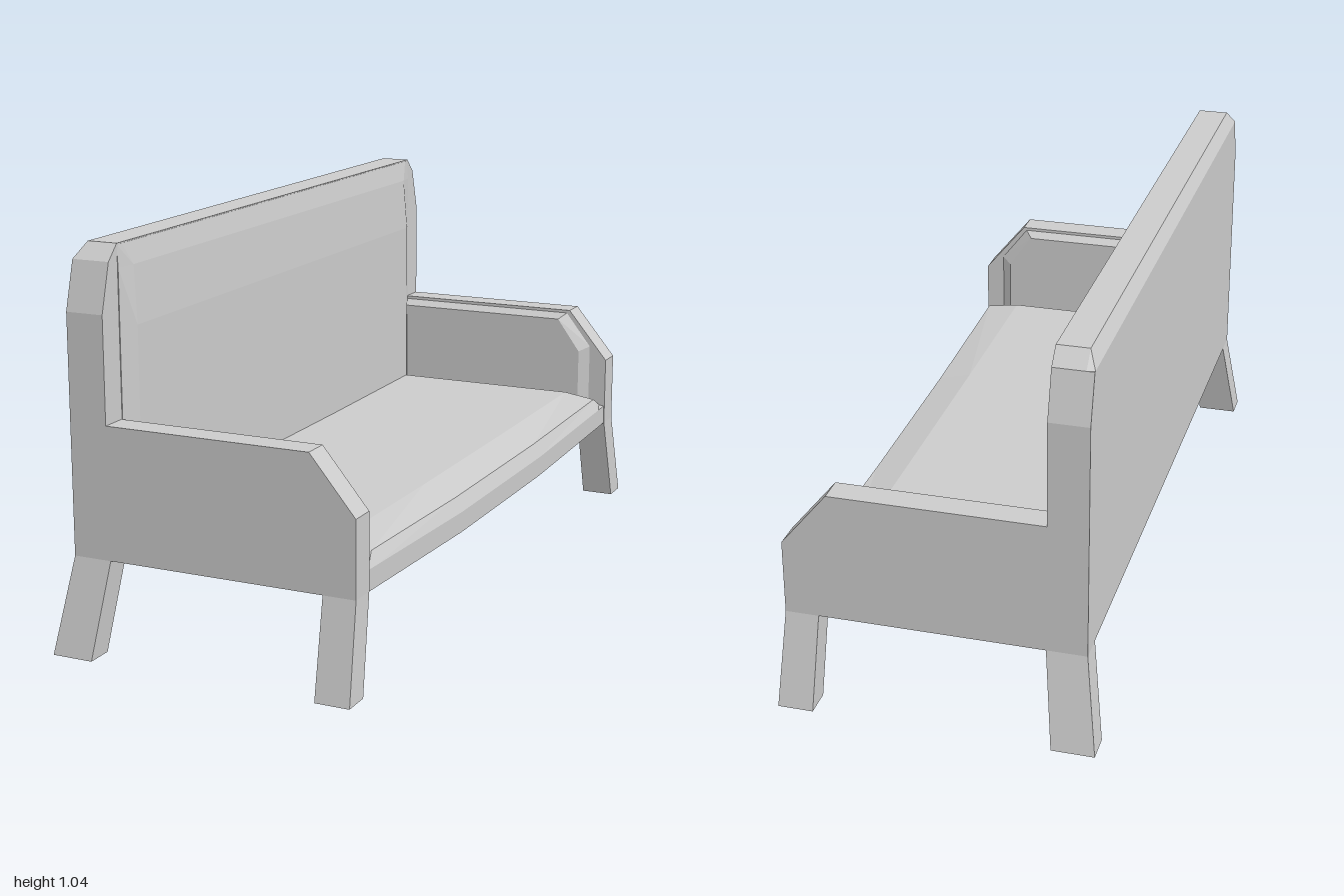
import * as THREE from 'three';

const material = new THREE.MeshStandardMaterial({ color: 0xcccccc, flatShading: true });

// Closed solid through matching rings of [x, y, z] corners, capped at both ends
function loft(name, rings) {
  const tris = [];
  const n = rings[0].length;
  for (let r = 0; r < rings.length - 1; r++) {
    const a = rings[r], b = rings[r + 1];
    for (let i = 0; i < n; i++) {
      const j = (i + 1) % n;
      tris.push([a[i], a[j], b[j]], [a[i], b[j], b[i]]);
    }
  }
  const first = rings[0], last = rings[rings.length - 1];
  for (let i = 1; i < n - 1; i++) {
    tris.push([first[0], first[i + 1], first[i]], [last[0], last[i], last[i + 1]]);
  }
  // Turn the faces outward if the enclosed volume comes out negative
  const vec = (p) => new THREE.Vector3(...p);
  const volume = tris.reduce((s, [a, b, c]) => s + vec(a).dot(vec(b).cross(vec(c))), 0);
  if (volume < 0) tris.forEach((t) => t.reverse());
  const geometry = new THREE.BufferGeometry();
  geometry.setAttribute('position', new THREE.Float32BufferAttribute(tris.flat(2), 3));
  geometry.computeVertexNormals();
  const mesh = new THREE.Mesh(geometry, material);
  mesh.name = name;
  return mesh;
}

const atZ = (points, z) => points.map(([x, y]) => [x, y, z]);

// Backrest slab with clipped top corners and a chamfered rear top edge
function backrest() {
  const ring = (x, topZ, topY) => {
    const half = [[0.94, 0.25], [0.94, 0.875], [0.905, 1.0], [topZ, topY]];
    const mirrored = half.map(([z, y]) => [-z, y]).reverse();
    return [...half, ...mirrored].map(([z, y]) => [x, y, z]);
  };
  return loft('backrest', [ring(-0.38, 0.9, 1.0), ring(-0.36, 0.865, 1.04), ring(-0.277, 0.865, 1.04)]);
}

// Padding on the front of the backrest, thinning toward the top
function backPad() {
  const ring = ([y, edge, front, half]) => [
    [-0.3, y, -0.865], [edge, y, -0.865], [front, y, -half],
    [front, y, half], [edge, y, 0.865], [-0.3, y, 0.865],
  ];
  return loft('backPad', [
    [0.28, -0.275, -0.255, 0.815],
    [0.83, -0.275, -0.255, 0.815],
    [0.98, -0.275, -0.265, 0.81],
    [1.037, -0.278, -0.276, 0.845],
  ].map(ring));
}

// Seat with sloping cushion ends and a front edge that bows down in the middle
function seat() {
  const ring = ([z, bottom, lip, front, top]) => atZ([
    [-0.3, 0.25], [0.32, 0.25], [0.4, bottom], [0.4, lip], [0.383, front], [0.29, top], [-0.3, top],
  ], z);
  const half = [
    [0.87, 0.248, 0.303, 0.305, 0.306],
    [0.815, 0.246, 0.301, 0.334, 0.348],
    [0.29, 0.228, 0.283, 0.322, 0.345],
  ];
  const mirrored = half.map(([z, ...rest]) => [-z, ...rest]).reverse();
  return loft('seat', [...half, ...mirrored].map(ring));
}

export function createModel() {
  const model = new THREE.Group();
  model.add(backrest(), backPad(), seat());

  const armOutline = [[-0.33, 0.25], [0.402, 0.25], [0.402, 0.45], [0.28, 0.598], [-0.33, 0.598]];
  const padOuter = [[-0.29, 0.28], [0.35, 0.28], [0.35, 0.49], [0.272, 0.59], [-0.29, 0.59]];
  const padInner = [[-0.29, 0.28], [0.32, 0.28], [0.32, 0.475], [0.25, 0.572], [-0.29, 0.572]];
  // Leg ends: [rear x, front x] at the top and at the foot
  const legs = {
    rearLeg: [[-0.38, -0.275], [-0.415, -0.303]],
    frontLeg: [[0.314, 0.402], [0.32, 0.413]],
  };

  for (const s of [1, -1]) {
    const side = s > 0 ? 'Near' : 'Far';
    model.add(
      loft('arm' + side, [atZ(armOutline, s * 0.867), atZ(armOutline, s * 0.94)]),
      loft('armPad' + side, [atZ(padOuter, s * 0.868), atZ(padInner, s * 0.845)]),
    );
    // Splayed legs
    for (const [name, [top, foot]] of Object.entries(legs)) {
      const end = ([x0, x1], y, z0, z1) =>
        [[x0, y, s * z0], [x1, y, s * z0], [x1, y, s * z1], [x0, y, s * z1]];
      model.add(loft(name + side, [end(foot, 0, 0.925, 1), end(top, 0.25, 0.867, 0.94)]));
    }
  }
  return model;
}
